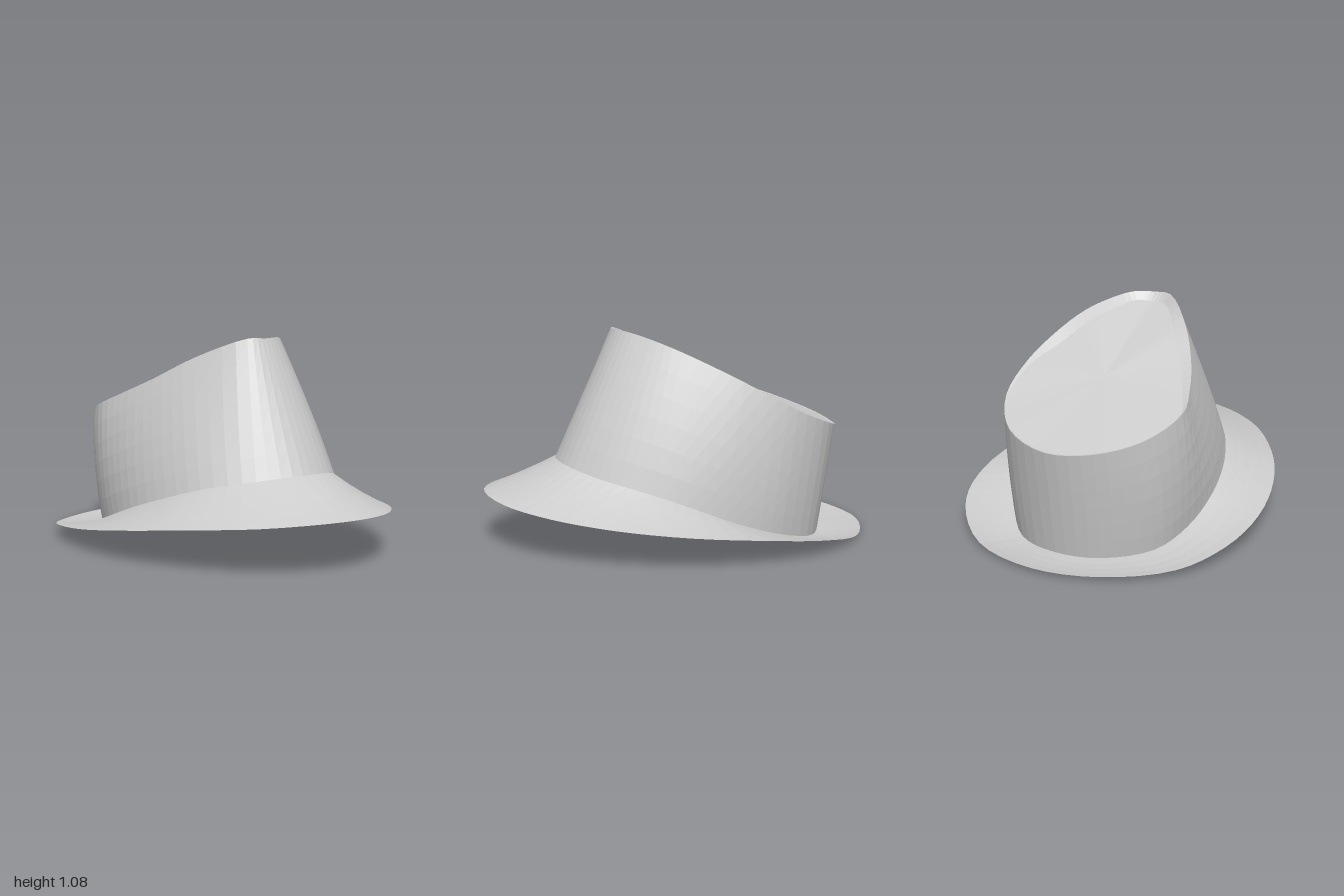
import * as THREE from 'three';

const SEGMENTS = 64;

// Closed loops of x, y, z points: 16 each, from the front round by +x
const brimEdge = [
  0.1, 0.27, 1.0, 0.4, 0.255, 0.89, 0.61, 0.23, 0.66, 0.74, 0.2, 0.36,
  0.8, 0.17, 0, 0.74, 0.13, -0.4, 0.6, 0.085, -0.68, 0.33, 0.03, -0.91,
  -0.05, 0.025, -1.0, -0.38, 0.025, -0.91, -0.66, 0.04, -0.69, -0.78, 0.08, -0.42,
  -0.79, 0.12, -0.08, -0.71, 0.17, 0.26, -0.55, 0.215, 0.57, -0.27, 0.25, 0.87,
];
const crownBase = [
  0.1, 0.43, 0.63, 0.29, 0.42, 0.57, 0.42, 0.38, 0.42, 0.5, 0.33, 0.22,
  0.535, 0.26, 0, 0.51, 0.16, -0.25, 0.41, 0.07, -0.5, 0.22, 0.01, -0.7,
  -0.03, 0.01, -0.77, -0.26, 0.015, -0.72, -0.46, 0.04, -0.55, -0.53, 0.1, -0.35,
  -0.535, 0.19, -0.1, -0.47, 0.28, 0.16, -0.34, 0.36, 0.39, -0.13, 0.41, 0.57,
];
const crownRim = [
  0.06, 1.085, 0.33, 0.16, 1.085, 0.28, 0.24, 1.06, 0.18, 0.32, 1.01, 0.04,
  0.375, 0.93, -0.14, 0.41, 0.82, -0.36, 0.385, 0.7, -0.58, 0.22, 0.605, -0.78,
  -0.04, 0.56, -0.86, -0.28, 0.58, -0.81, -0.46, 0.63, -0.66, -0.535, 0.71, -0.42,
  -0.48, 0.78, -0.25, -0.38, 0.87, -0.06, -0.24, 0.985, 0.13, -0.04, 1.085, 0.32,
];
const panelEdge = [
  0.06, 1.04, 0.29, 0.13, 1.045, 0.26, 0.19, 1.02, 0.15, 0.26, 0.97, 0.0,
  0.33, 0.88, -0.18, 0.39, 0.8, -0.38, 0.375, 0.695, -0.58, 0.215, 0.605, -0.77,
  -0.04, 0.56, -0.85, -0.275, 0.58, -0.8, -0.455, 0.63, -0.65, -0.525, 0.705, -0.42,
  -0.45, 0.765, -0.27, -0.34, 0.85, -0.1, -0.2, 0.955, 0.08, -0.02, 1.04, 0.29,
];

// Smooth closed curve through a loop; matching samples stay aligned between loops
function sampleLoop(numbers) {
  const points = [];
  for (let i = 0; i < numbers.length; i += 3) points.push(new THREE.Vector3(...numbers.slice(i, i + 3)));
  const curve = new THREE.CatmullRomCurve3(points, true, 'centripetal');
  return Array.from({ length: SEGMENTS }, (_, i) => curve.getPoint(i / SEGMENTS));
}

// In-between loops, pushed sideways by bulge and lifted by lift at mid-way
function blendLoops(a, b, steps, bulge = 0, lift = 0) {
  return Array.from({ length: steps + 1 }, (_, s) => {
    const t = s / steps;
    const arch = 4 * t * (1 - t);
    return a.map((p, i) => {
      const q = p.clone().lerp(b[i], t);
      q.x *= 1 + bulge * arch;
      q.y += lift * arch;
      return q;
    });
  });
}

// Skin over a list of loops
function skin(name, loops, material) {
  const positions = loops.flat().flatMap((p) => p.toArray());
  const index = [];
  for (let r = 0; r < loops.length - 1; r++) {
    for (let i = 0; i < SEGMENTS; i++) {
      const j = (i + 1) % SEGMENTS;
      const a = r * SEGMENTS + i, b = r * SEGMENTS + j;
      index.push(a, b, b + SEGMENTS, a, b + SEGMENTS, a + SEGMENTS);
    }
  }
  const geometry = new THREE.BufferGeometry();
  geometry.setAttribute('position', new THREE.Float32BufferAttribute(positions, 3));
  geometry.setIndex(index);
  geometry.computeVertexNormals();
  const mesh = new THREE.Mesh(geometry, material);
  mesh.name = name;
  return mesh;
}

export function createModel() {
  const felt = new THREE.MeshStandardMaterial({ color: 0xcccccc, flatShading: true, side: THREE.DoubleSide });
  const [brim, base, rim, panel] = [brimEdge, crownBase, crownRim, panelEdge].map(sampleLoop);
  const middle = new THREE.Vector3(-0.03, 0.79, -0.32);
  const centre = panel.map((p) => p.clone().lerp(middle, 0.999));

  const hat = new THREE.Group();
  hat.name = 'hat';
  hat.add(
    // Sloping brim, open underneath
    skin('brim', blendLoops(brim, base, 4, 0, -0.008), felt),
    // Crown wall, leaning back to a narrow front peak
    skin('crownWall', blendLoops(base, rim, 6, 0.035), felt),
    // Narrow lip dropping to the sunken top
    skin('crownLip', [rim, panel], felt),
    // Slanted top panel
    skin('crownTop', blendLoops(panel, centre, 4), felt),
  );
  return hat;
}
